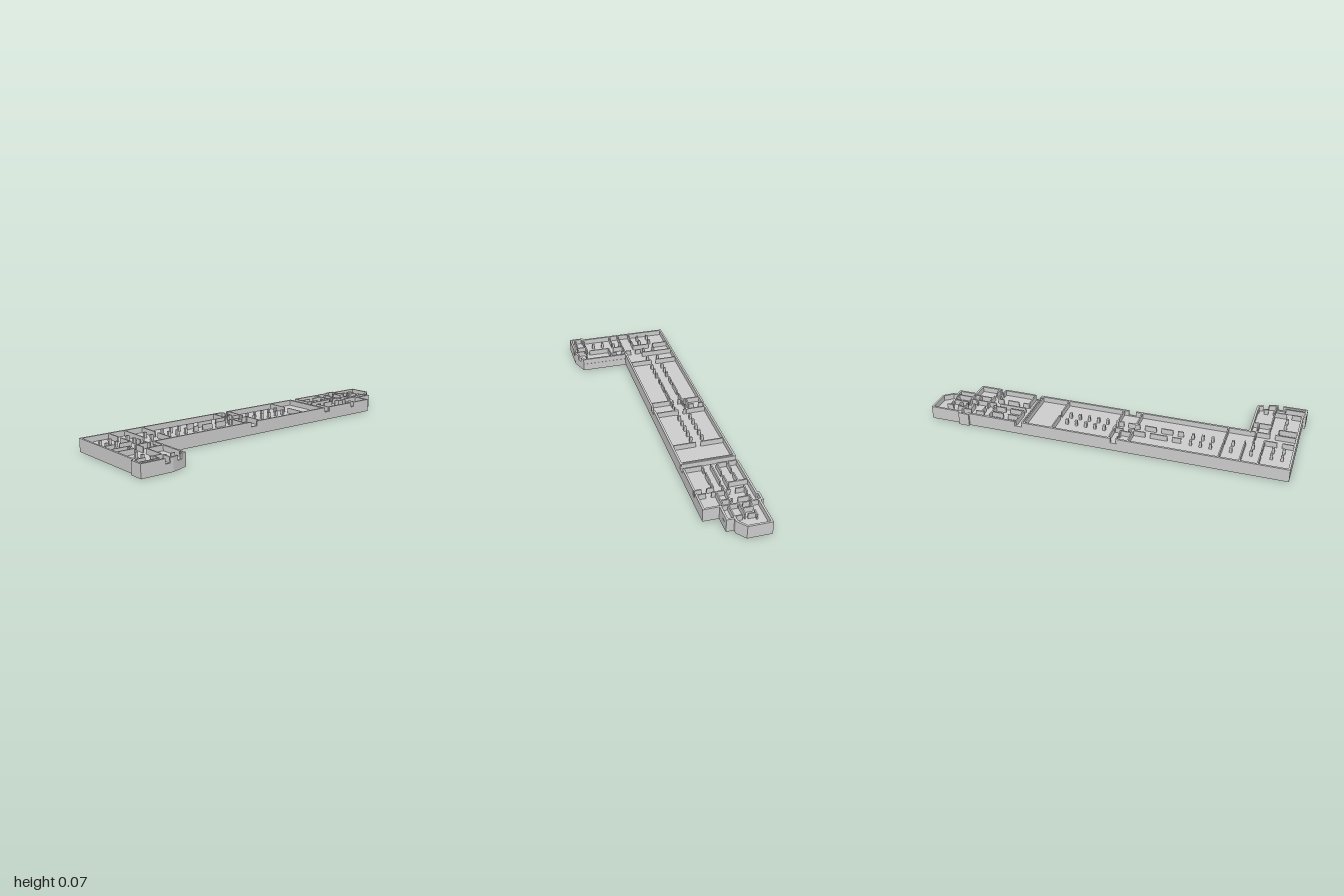
import * as THREE from 'three';

const TOP = 0.073, FLOOR = 0.043, SLAB = 0.004, SILL = 0.046, T = 0.011, THIN = 0.007, DOOR = 0.027;
const BACK = -0.29, FRONT = 0;
const mat = new THREE.MeshStandardMaterial({ color: 0xcccccc, flatShading: true, side: THREE.DoubleSide });

// Building outline in x, z
const outline = [
  [-0.985, -0.295], [0.77, -0.295], [0.77, -0.305], [0.83, -0.305], [0.83, -0.29], [1, -0.29],
  [1, -0.16], [0.95, -0.12], [0.93, -0.12], [0.93, -0.08], [0.83, -0.08], [0.83, 0.005],
  [-0.725, 0.005], [-0.725, 0.27], [-0.82, 0.305], [-1, 0.305], [-1, 0.225], [-0.985, 0.225],
];

// Openings in the outer walls, by edge index: ranges in x
const outerGaps = {
  0: [[-0.08, -0.045], [0.46, 0.5]],
  11: [[-0.1, -0.06], [0.46, 0.5], [0.68, 0.705]],
  13: [[-0.785, -0.755]],
  14: [[-0.865, -0.838]],
};

// Upright wall from a to b; cuts are [start, end] distances along it, in rising order
function wall(name, a, b, { base, sill, thick, cuts = [], extend = 0, shift = 0 }) {
  const dx = b[0] - a[0], dz = b[1] - a[1], end = Math.hypot(dx, dz) + extend;
  const s = new THREE.Shape();
  s.moveTo(0, base).lineTo(end, base).lineTo(end, TOP);
  for (const [u0, u1] of [...cuts].reverse()) {
    s.lineTo(u1, TOP).lineTo(u1, sill).lineTo(u0, sill).lineTo(u0, TOP);
  }
  s.lineTo(0, TOP);
  s.closePath();
  const geo = new THREE.ExtrudeGeometry(s, { depth: thick, bevelEnabled: false });
  geo.translate(0, 0, shift);
  const mesh = new THREE.Mesh(geo, mat);
  mesh.name = name;
  mesh.rotation.y = -Math.atan2(dz, dx);
  mesh.position.set(a[0], 0, a[1]);
  return mesh;
}

// Raised floor slab, open underneath
function makeFloor() {
  const shape = new THREE.Shape(outline.map(([x, z]) => new THREE.Vector2(x * 0.998, -z * 0.995)));
  const geo = new THREE.ExtrudeGeometry(shape, { depth: SLAB, bevelEnabled: false });
  geo.rotateX(-Math.PI / 2).translate(0, FLOOR - SLAB, 0);
  const floor = new THREE.Mesh(geo, mat);
  floor.name = 'floor';
  return floor;
}

// Outer walls down to the ground, extended to fill the inward corners
function makeOuterWalls() {
  const group = new THREE.Group();
  group.name = 'outerWalls';
  const at = i => outline[i % outline.length];
  outline.forEach((a, i) => {
    const b = at(i + 1), c = at(i + 2);
    const len = Math.hypot(b[0] - a[0], b[1] - a[1]);
    const inward = (b[0] - a[0]) * (c[1] - b[1]) < (b[1] - a[1]) * (c[0] - b[0]);
    const cuts = (outerGaps[i] ?? [])
      .map(gap => gap.map(x => (x - a[0]) / (b[0] - a[0]) * len).sort((p, q) => p - q))
      .sort((p, q) => p[0] - q[0]);
    group.add(wall('outerWall', a, b, { base: 0, sill: SILL, thick: T, cuts, extend: inward ? T : 0 }));
  });
  return group;
}

// Partition walls standing on the floor
function makeInnerWalls() {
  const group = new THREE.Group();
  group.name = 'innerWalls';
  // Doors are spread evenly over the length of a wall
  const partition = (x1, z1, x2, z2, doors = 0) => {
    const len = Math.hypot(x2 - x1, z2 - z1);
    const cuts = Array.from({ length: doors }, (_, i) => {
      const mid = (i + 0.5) / doors * len;
      return [mid - DOOR / 2, mid + DOOR / 2];
    });
    group.add(wall('innerWall', [x1, z1], [x2, z2],
      { base: FLOOR - SLAB, sill: FLOOR, thick: THIN, cuts, shift: -THIN / 2 }));
  };
  const across = (x, z1, z2, doors) => partition(x, z1, x, z2, doors);
  const along = (z, x1, x2, doors) => partition(x1, z, x2, z, doors);

  // Full cross walls of the long wing, and the solid double wall beside the open hall
  for (const x of [-0.617, -0.137, -0.032, 0.29]) across(x, BACK, FRONT, 1);
  for (const x of [0.447, 0.458]) across(x, BACK, FRONT);

  // Corner rooms at the west end
  across(-0.82, BACK, -0.07, 1);
  across(-0.725, BACK, -0.1);
  along(-0.07, -0.98, -0.82, 1);
  along(FRONT, -0.98, -0.725, 1);

  // Short front wing: corridor walls and side rooms
  across(-0.765, -0.1, 0.085, 2);
  across(-0.83, FRONT, 0.3, 2);
  along(0.055, -0.98, -0.88);
  across(-0.88, FRONT, 0.055, 1);
  along(0.09, -0.83, -0.73);
  along(0.24, -0.83, -0.73, 2);
  along(0.225, -0.99, -0.83, 1);
  along(0.275, -0.99, -0.88);
  across(-0.88, 0.225, 0.275);

  // Broken screens of the central hall and its small back room
  along(-0.183, -0.4, -0.035, 3);
  along(-0.12, -0.4, -0.035, 4);
  along(-0.205, -0.137, -0.075);
  across(-0.075, BACK, -0.205, 1);

  // East rooms: lengthwise corridor walls, then dividers
  along(-0.235, 0.495, 0.66, 1);
  along(-0.178, 0.495, 0.68, 1);
  along(-0.147, 0.495, 0.825, 1);
  along(-0.1, 0.495, 0.68, 2);
  across(0.495, BACK, -0.178);
  across(0.495, -0.1, FRONT);
  across(0.66, BACK, -0.178);
  across(0.68, -0.1, FRONT, 1);
  across(0.715, -0.25, FRONT, 2);
  across(0.785, -0.25, -0.1, 1);
  along(-0.25, 0.7, 0.825, 1);
  along(-0.1, 0.715, 0.825);

  // Narrow end block
  across(0.825, BACK, -0.08, 1);
  along(-0.235, 0.83, 0.93, 1);
  along(-0.18, 0.83, 0.912);
  along(-0.125, 0.83, 0.93);
  across(0.865, -0.235, -0.18);
  across(0.912, -0.235, -0.125, 1);
  return group;
}

// Columns running through the floor to the ground
function makeColumns() {
  const group = new THREE.Group();
  group.name = 'columns';
  const geo = new THREE.BoxGeometry(0.014, TOP, 0.014).translate(0, TOP / 2, 0);
  const add = (x, z) => {
    const column = new THREE.Mesh(geo, mat);
    column.name = 'column';
    column.position.set(x, 0, z);
    group.add(column);
  };
  for (const z of [-0.183, -0.12]) {
    for (const x of [-0.93, -0.875, -0.77, -0.665, -0.137, -0.032]) add(x, z);
    for (let i = 0; i < 3; i++) add(-0.557 + i * 0.053, z);
    for (let i = 0; i < 5; i++) add(0.025 + i * 0.053, z);
  }
  for (const z of [0.115, 0.172]) add(-0.905, z);
  return group;
}

export function createModel() {
  const model = new THREE.Group();
  model.name = 'buildingFloor';
  model.add(makeFloor(), makeOuterWalls(), makeInnerWalls(), makeColumns());
  return model;
}
